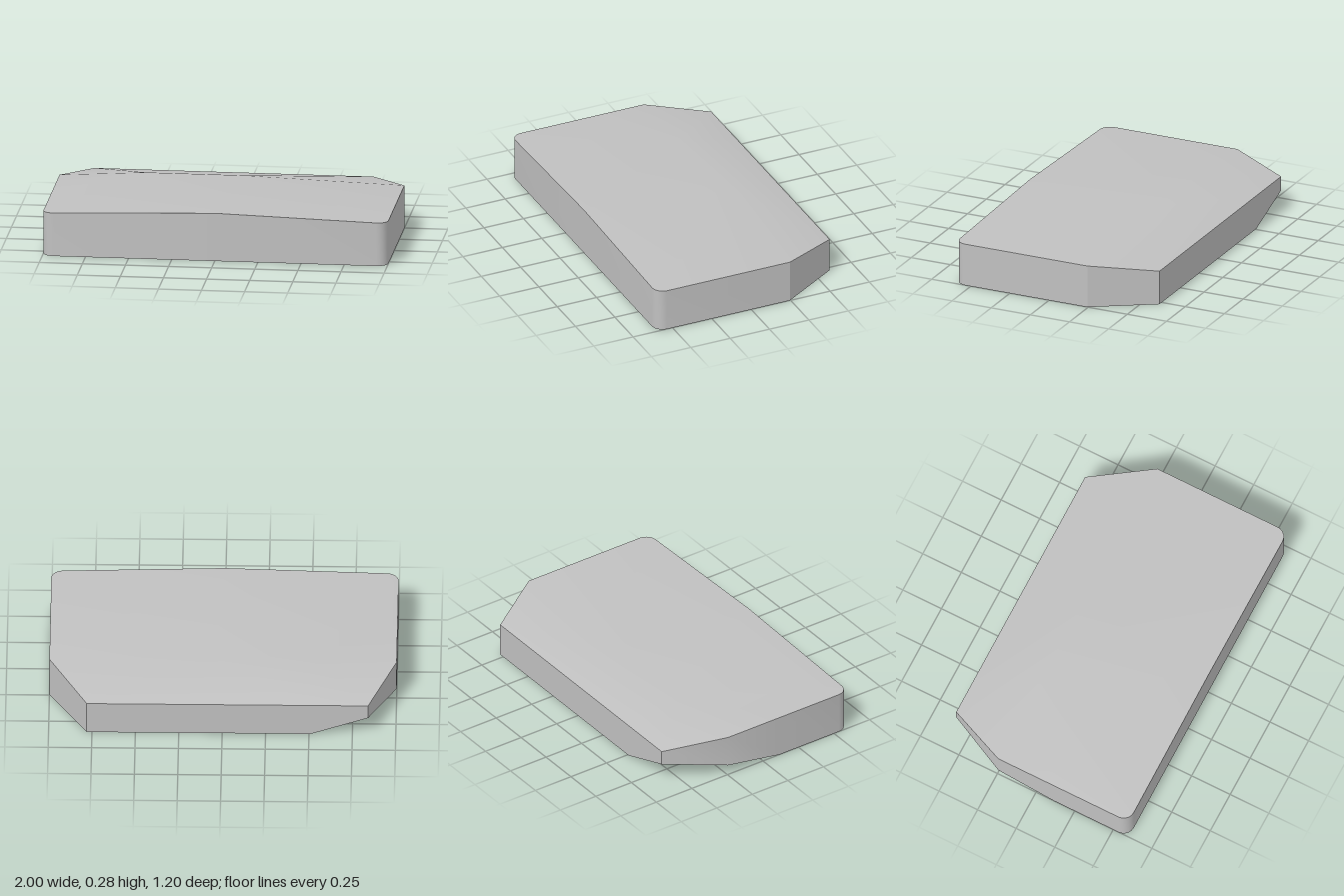
import * as THREE from 'three';
import { toCreasedNormals } from 'three/addons/utils/BufferGeometryUtils.js';

// Rounded front corner; side = -1 for the right, +1 for the left
function frontCorner(side, radius = 0.065, steps = 5) {
  const points = [];
  for (let i = 0; i <= steps; i++) {
    const a = (i / steps) * Math.PI / 2;
    const x = side * (1 - radius + radius * Math.cos(a));
    const z = 0.6 - radius + radius * Math.sin(a);
    points.push([x, z, 0.285 - 0.03 * Math.abs(x), 0]);
  }
  return side < 0 ? points : points.reverse();
}

function slabGeometry() {
  // Outline columns: x, z, top height, bottom height
  const columns = [
    [-0.51, -0.6, 0.205, 0],
    [-0.84, -0.6, 0.205, 0.118], // undercut back corner
    [-1, -0.245, 0.255, 0.063],
    [-1, 0.115, 0.255, 0],
    ...frontCorner(-1),
    [0, 0.6, 0.285, 0], // front end of the crown
    ...frontCorner(1),
    [1, -0.245, 0.255, 0],
    [0.78, -0.6, 0.205, 0],
  ];
  const n = columns.length;
  const front = columns.findIndex((c) => c[0] === 0);
  const top = columns.map(([x, z, t]) => [x, t, z]);
  const bottom = columns.map(([x, z, , b]) => [x, b, z]);
  const crownA = [-0.5, 0.285, -0.245];
  const crownB = [0.05, 0.285, -0.245];

  const positions = [];
  const tri = (a, b, c) => positions.push(...a, ...b, ...c);

  // Side walls
  for (let i = 0; i < n; i++) {
    const j = (i + 1) % n;
    tri(top[i], bottom[i], bottom[j]);
    tri(top[i], bottom[j], top[j]);
  }
  // Crowned top, folding down to the back and sides
  for (let i = 0; i < n; i++) {
    tri(i < front ? crownA : crownB, top[i], top[(i + 1) % n]);
  }
  tri(crownA, top[front], crownB);
  tri(crownB, top[0], crownA);
  // Underside with the lifted back corner
  for (let i = 1; i < n - 1; i++) tri(bottom[0], bottom[i + 1], bottom[i]);

  const geometry = new THREE.BufferGeometry();
  geometry.setAttribute('position', new THREE.Float32BufferAttribute(positions, 3));
  return toCreasedNormals(geometry, 0.5);
}

export function createModel() {
  const group = new THREE.Group();
  group.name = 'crownedSlab';
  const grey = new THREE.MeshStandardMaterial({ color: 0xc0c0c0 });
  grey.name = 'light grey';
  const slab = new THREE.Mesh(slabGeometry(), grey);
  slab.name = 'slab';
  group.add(slab);
  return group;
}
